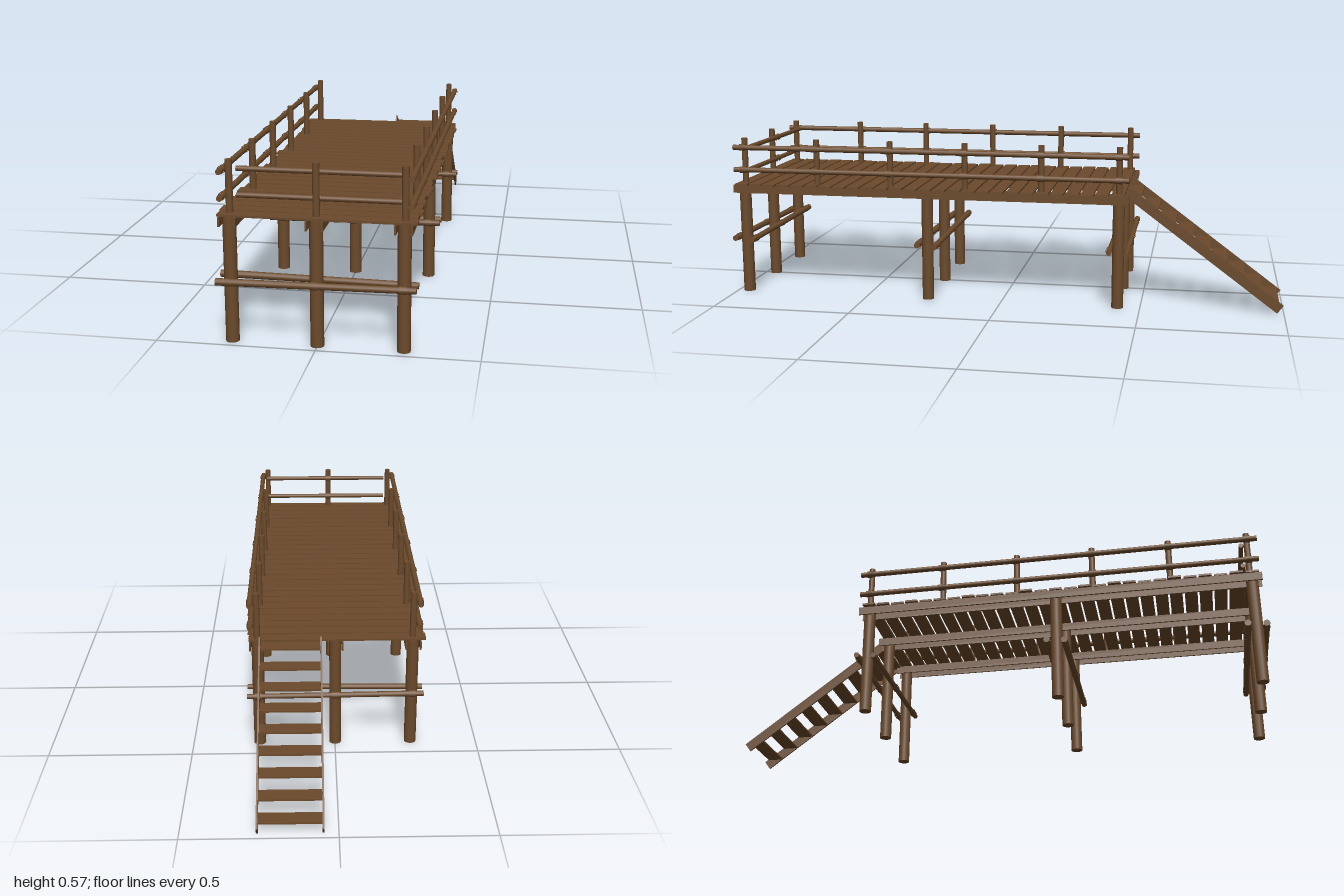
import * as THREE from 'three';

const wood = new THREE.MeshStandardMaterial({ color: 0x6b4a2b });
const bandWood = new THREE.MeshStandardMaterial({ color: 0x6b4a2b, side: THREE.DoubleSide });

export function createModel() {
  const model = new THREE.Group();
  let seed = 7;
  const jitter = (a) => {
    seed = (seed * 16807) % 2147483647;
    return (seed / 2147483647 * 2 - 1) * a;
  };

  const add = (name, geometry, x, y, z, material = wood) => {
    const mesh = new THREE.Mesh(geometry, material);
    mesh.name = name;
    mesh.position.set(x, y, z);
    model.add(mesh);
    return mesh;
  };
  const box = (name, w, h, d, x, y, z) => add(name, new THREE.BoxGeometry(w, h, d), x, y, z);

  // Round timber between two points
  const up = new THREE.Vector3(0, 1, 0);
  const log = (name, a, b, r0, r1 = r0) => {
    const p = new THREE.Vector3(...a), q = new THREE.Vector3(...b);
    const dir = q.clone().sub(p);
    const mid = p.clone().add(q).multiplyScalar(0.5);
    const mesh = add(name, new THREE.CylinderGeometry(r1, r0, dir.length(), 14), mid.x, mid.y, mid.z);
    mesh.quaternion.setFromUnitVectors(up, dir.normalize());
    return mesh;
  };
  // Binding sleeve around a horizontal timber
  const band = (x, y, z, r, axis) => {
    const mesh = add('binding', new THREE.CylinderGeometry(r, r, 0.024, 14, 1, true), x, y, z, bandWood);
    if (axis === 'x') mesh.rotation.z = Math.PI / 2;
    else mesh.rotation.x = Math.PI / 2;
  };

  const postX = [-0.267, -0.001, 0.265];
  const postZ = [0.96, 0.27, -0.42];

  // Supporting posts
  for (const x of postX) for (const z of postZ) log('supportPost', [x, 0, z], [x, 0.404, z], 0.021);

  // Paired bearer beams on both sides of every post row
  for (const x of postX) for (const s of [-1, 1])
    box('bearerBeam', 0.006, 0.029, 1.45, x + s * 0.0245, 0.3895, 0.27);

  // Paired cross logs, slightly crooked
  postZ.forEach((z, i) => {
    for (const s of [-1, 1]) {
      const zz = z + s * 0.031, r = i === 2 ? 0.01 : 0.0115, t = s > 0 ? 0.003 : -0.003;
      log('crossLog', [-0.307, 0.203 - t, zz], [0.305, 0.203 + t, zz], r, r * 0.9);
      for (const x of postX) band(x, 0.203 + t * x / 0.306, zz, 0.0125, 'x');
    }
  });

  // Deck planks
  const plankCount = 27;
  for (let i = 0; i < plankCount; i++) {
    const z = -0.416 + i * (1.377 / (plankCount - 1));
    const plank = box('deckPlank', 0.605, 0.007, 0.045, jitter(0.008), 0.4075, z);
    plank.rotation.y = jitter(0.006);
  }

  // Railing posts and rails along both long sides
  const railY = [0.461, 0.543];
  for (const s of [-1, 1]) {
    const x = s * 0.266, xr = s * 0.2875;
    for (let i = 0; i < 6; i++) {
      const z = 0.955 - i * 0.275;
      log('railingPost', [x, 0.404, z], [x, 0.575, z], 0.011);
      for (const y of railY) band(xr, y, z, 0.012, 'z');
    }
    for (const y of railY) log('sideRail', [xr, y, 0.99], [xr, y, -0.455], 0.0095);
  }

  // Front railing
  log('railingPost', [-0.001, 0.404, 0.955], [-0.001, 0.575, 0.955], 0.011);
  for (const y of railY) {
    log('frontRail', [-0.248, y, 0.936], [0.268, y, 0.936], 0.0085);
    band(-0.001, y, 0.936, 0.012, 'x');
  }

  // Stairs at the back: two sloping stringers and level treads
  const top = [0.418, -0.448], foot = [0.0175, -0.987];
  const rise = top[0] - foot[0], run = top[1] - foot[1];
  for (const x of [0.048, 0.256]) {
    const stringer = box('stairStringer', 0.006, 0.036, Math.hypot(rise, run),
      x, (top[0] + foot[0]) / 2, (top[1] + foot[1]) / 2);
    stringer.rotation.x = -Math.atan2(rise, run);
  }
  for (let i = 0; i < 9; i++) {
    const y = 0.042 + i * 0.045;
    box('stairTread', 0.204, 0.006, 0.056, 0.152, y, foot[1] + (y - foot[0]) * run / rise);
  }

  return model;
}
